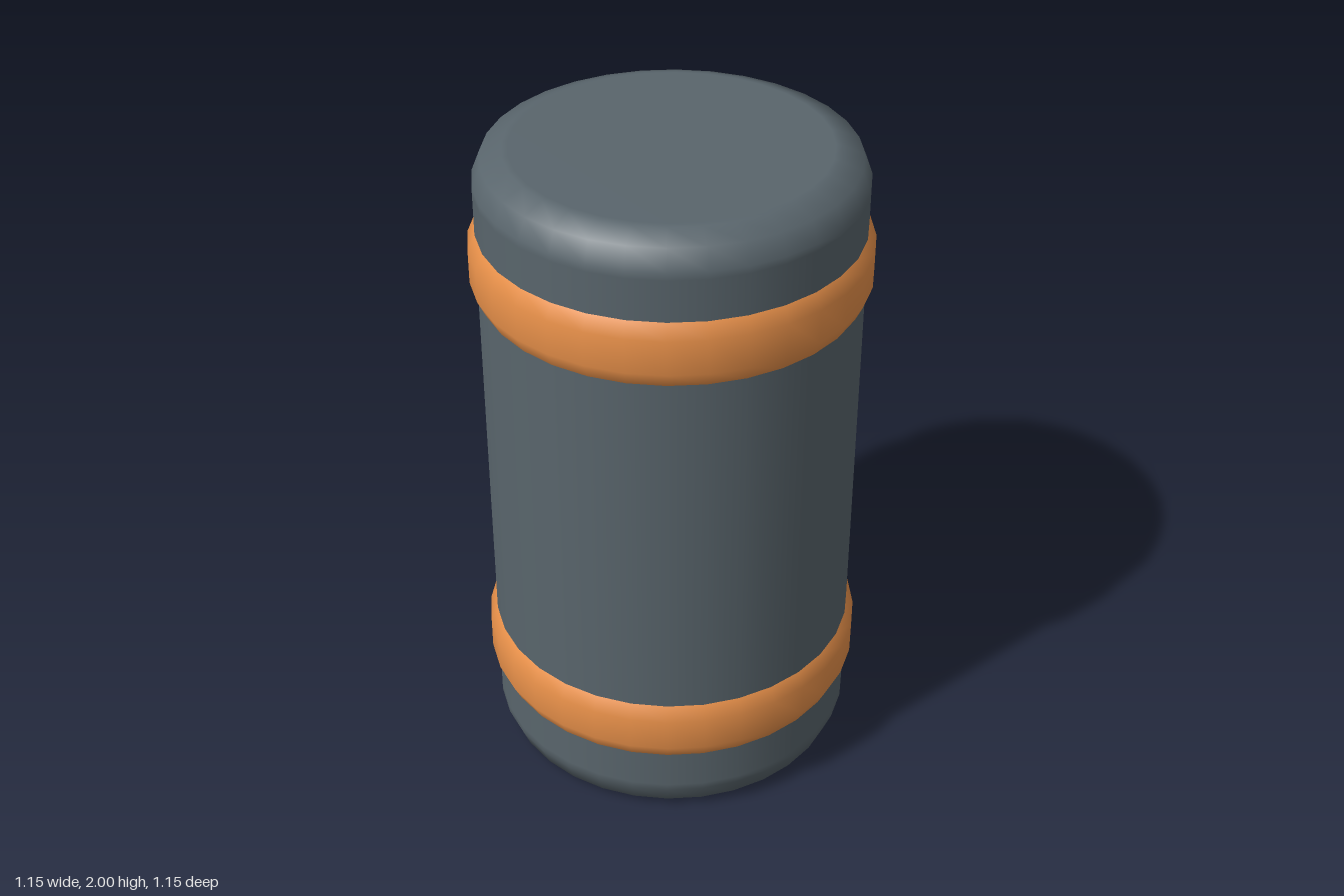
import * as THREE from 'three';

const SEGMENTS = 32;

// Smooth solid of revolution from [radius, height] pairs, listed bottom to top
function turned(name, profile, material) {
  const points = profile.map(([r, y]) => new THREE.Vector2(r, y));
  const mesh = new THREE.Mesh(new THREE.LatheGeometry(points, SEGMENTS), material);
  mesh.name = name;
  return mesh;
}

export function createModel() {
  const group = new THREE.Group();
  group.name = 'bandedCanister';
  const slate = new THREE.MeshStandardMaterial({ color: 0x59656c });
  const orange = new THREE.MeshStandardMaterial({ color: 0xe9914a });

  // Body: rounded rims, with support loops that keep the caps and wall flat
  const lower = [[0, 0], [0.45, 0], [0.468, 0.002], [0.53, 0.028], [0.554, 0.088], [0.554, 0.11]];
  const upper = lower.map(([r, y]) => [r, 2 - y]).reverse();
  group.add(turned('body', [...lower, ...upper], slate));

  // Two raised bands with bevelled edges that sink into the body
  const bandProfile = [[0.535, -0.12], [0.554, -0.098], [0.576, -0.052],
    [0.576, 0.052], [0.554, 0.098], [0.535, 0.12]];
  for (const [name, y] of [['lowerBand', 0.333], ['upperBand', 1.667]]) {
    const band = turned(name, bandProfile, orange);
    band.position.y = y;
    group.add(band);
  }
  return group;
}
